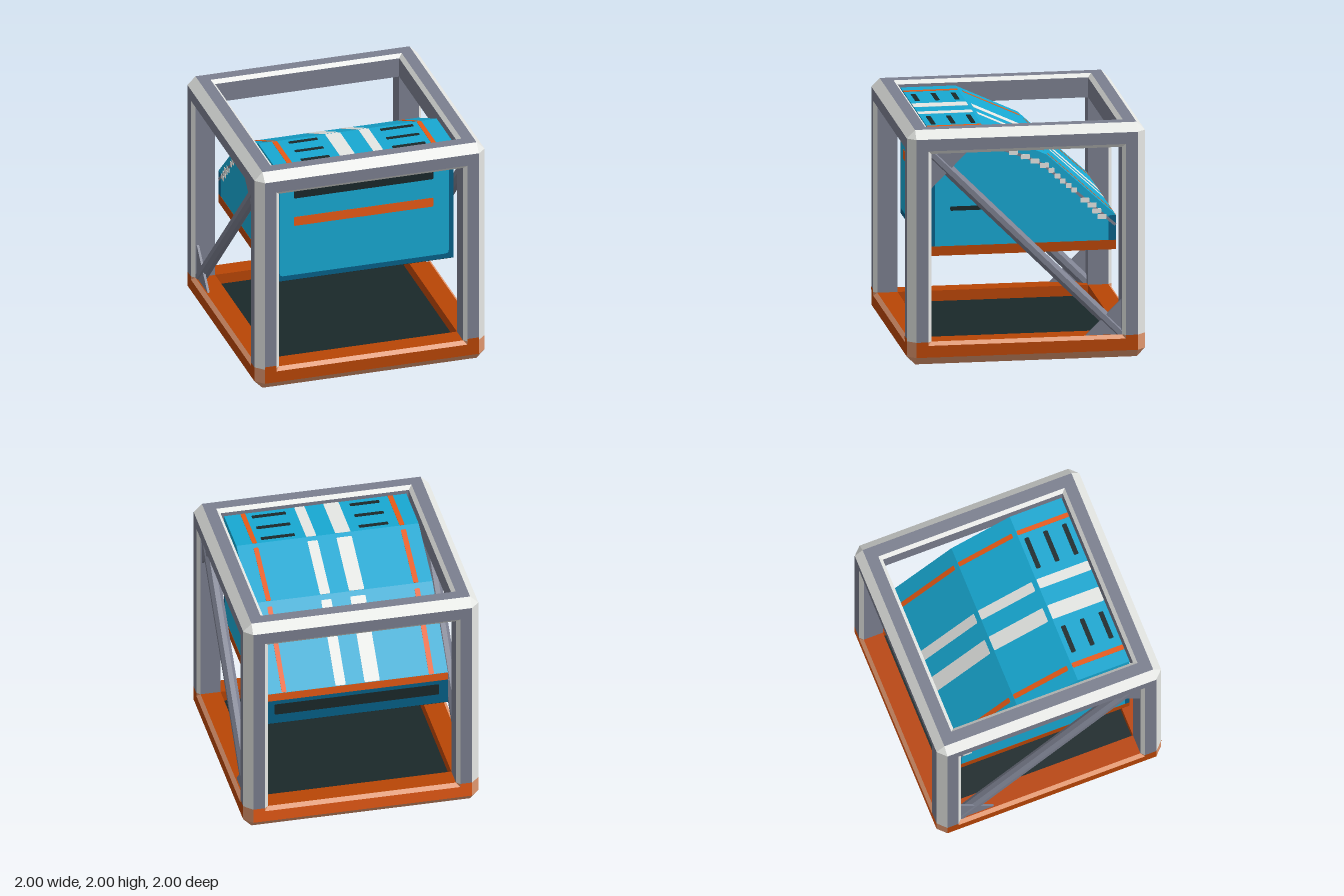
import * as THREE from 'three';

const mat = (name, color) => {
  const m = new THREE.MeshStandardMaterial({ color });
  m.name = name;
  return m;
};

export function createModel() {
  const M = {
    grey: mat('frame grey', 0x7b7f8f),
    silver: mat('silver', 0xe5e7e4),
    rust: mat('burnt orange', 0xb84505),
    peach: mat('worn orange', 0xe0966e),
    blue: mat('blue', 0x17a8d2),
    navy: mat('dark blue', 0x056088),
    orange: mat('bright orange', 0xe95b16),
    dark: mat('charcoal', 0x1a282a),
  };
  const model = new THREE.Group();
  model.name = 'cargoFrame';

  const add = (parent, name, geo, material, x = 0, y = 0, z = 0) => {
    const mesh = new THREE.Mesh(geo, material);
    mesh.name = name;
    mesh.position.set(x, y, z);
    parent.add(mesh);
    return mesh;
  };
  const group = (parent, name, x = 0, y = 0, z = 0) => {
    const g = new THREE.Group();
    g.name = name;
    g.position.set(x, y, z);
    parent.add(g);
    return g;
  };
  // thin rounded plate between two corners, lying on the local xy plane
  const plate = (parent, name, material, x0, y0, x1, y1, r = 0.01, t = 0.003) => {
    const s = new THREE.Shape();
    s.moveTo(x0 + r, y0);
    s.lineTo(x1 - r, y0).quadraticCurveTo(x1, y0, x1, y0 + r);
    s.lineTo(x1, y1 - r).quadraticCurveTo(x1, y1, x1 - r, y1);
    s.lineTo(x0 + r, y1).quadraticCurveTo(x0, y1, x0, y1 - r);
    s.lineTo(x0, y0 + r).quadraticCurveTo(x0, y0, x0 + r, y0);
    const geo = new THREE.ExtrudeGeometry(s, { depth: t, bevelEnabled: false, curveSegments: 3 });
    return add(parent, name, geo, material);
  };

  // ---- Chamfered cube frame: one mitred side, turned four times on six faces
  const frame = group(model, 'frame', 0, 1, 0);
  const A = 0.93, B = 0.83, C = 0.8, D = 0.97, E = 0.965;
  const side = [
    ['face', [[-A, -A, 1], [A, -A, 1], [B, -B, 1], [-B, -B, 1]]],
    ['lip', [[-B, -B, 1], [B, -B, 1], [C, -C, D], [-C, -C, D]]],
    ['wall', [[-C, -C, D], [C, -C, D], [C, -C, C], [-C, -C, C]]],
    ['edge', [[-A, -E, E], [A, -E, E], [A, -A, 1], [-A, -A, 1]]],
  ];
  const corner = ['edge', [[-A, -A, 1], [-1, -A, A], [-A, -1, A]]];
  const tris = { grey: [], silver: [], rust: [], peach: [], orange: [] };
  // keeps the part of a polygon above (sign 1) or below (sign -1) the paint line
  const clip = (poly, sign) => {
    const out = [];
    const d = (p) => sign * (p.y + 0.8);
    poly.forEach((p, i) => {
      const q = poly[(i + 1) % poly.length];
      if (d(p) >= -1e-6) out.push(p);
      if ((d(p) > 1e-6 && d(q) < -1e-6) || (d(p) < -1e-6 && d(q) > 1e-6)) {
        out.push(p.clone().lerp(q, d(p) / (d(p) - d(q))));
      }
    });
    return out;
  };
  const fan = (poly, list) => {
    for (let i = 1; i < poly.length - 1; i++) {
      for (const p of [poly[0], poly[i], poly[i + 1]]) list.push(p.x, p.y, p.z);
    }
  };
  const H = Math.PI / 2;
  const BACK = 2, BOTTOM = 4;
  const faces = [[0, 0], [0, H], [0, 2 * H], [0, 3 * H], [H, 0], [-H, 0]];
  faces.forEach(([rx, ry], f) => {
    const turn = new THREE.Matrix4().makeRotationFromEuler(new THREE.Euler(rx, ry, 0));
    for (let k = 0; k < 4; k++) {
      const m = turn.clone().multiply(new THREE.Matrix4().makeRotationZ(k * H));
      const parts = f === 0 || f === BACK ? [...side, corner] : side;
      for (const [kind, pts] of parts) {
        const flat = kind === 'face' || kind === 'wall';
        const poly = pts.map((p) => new THREE.Vector3(...p).applyMatrix4(m));
        const low = clip(poly, -1);
        let paint = flat || (f === BOTTOM && kind === 'lip') ? 'rust' : 'peach';
        if (f === BACK && kind === 'face') paint = 'orange';
        if (low.length > 2) fan(low, tris[paint]);
        if (poly.some((p) => p.y > -0.8 + 1e-6)) fan(clip(poly, 1), flat ? tris.grey : tris.silver);
      }
    }
  });
  const frameNames = {
    grey: 'frameBars', silver: 'frameChamfers', rust: 'baseBars', peach: 'baseChamfers', orange: 'baseBack',
  };
  for (const key in tris) {
    const geo = new THREE.BufferGeometry();
    geo.setAttribute('position', new THREE.Float32BufferAttribute(tris[key], 3));
    geo.computeVertexNormals();
    add(frame, frameNames[key], geo, M[key]);
  }
  for (const s of [-1, 1]) {
    add(model, 'postPaintEdge', new THREE.BoxGeometry(0.1, 0.025, 0.003), M.rust, s * 0.88, 0.21, 1);
  }
  // floor set halfway up the base bars
  add(model, 'floor', new THREE.BoxGeometry(1.6, 0.02, 1.6), M.dark, 0, 0.1, 0);

  // ---- Diagonal braces with corner gussets on both sides
  for (const s of [-1, 1]) {
    const brace = group(model, s > 0 ? 'leftBrace' : 'rightBrace', s * 0.92, 1, 0);
    const bar = new THREE.CylinderGeometry(0.054, 0.054, 2.27, 8).rotateY(Math.PI / 8).toNonIndexed();
    bar.computeVertexNormals();
    add(brace, 'braceBar', bar, M.grey).rotation.x = Math.PI / 4;
    for (const e of [-1, 1]) {
      const tri = new THREE.Shape();
      tri.moveTo(-0.8, 0.8);
      tri.lineTo(-0.8, 0.5);
      tri.lineTo(-0.5, 0.8);
      const geo = new THREE.ExtrudeGeometry(tri, { depth: 0.02, bevelEnabled: false });
      geo.translate(0, 0, -0.01).rotateY(H);
      add(brace, 'gusset', geo, M.grey, s * 0.03).rotation.x = e > 0 ? 0 : Math.PI;
    }
  }

  // ---- Hull: side profile (z, y) extruded across x
  const hull = group(model, 'hull');
  const W = 0.775, Z = 0.78;
  const top = [[Z, 1.95], [0.32, 1.95], [-0.2, 1.71], [-Z, 1.175]];
  const profile = new THREE.Shape();
  profile.moveTo(-Z, 0.885);
  profile.lineTo(Z, 0.885);
  top.forEach(([z, y]) => profile.lineTo(z, y));
  const body = new THREE.ExtrudeGeometry(profile, { depth: 2 * W, bevelEnabled: false });
  body.translate(0, 0, -W).rotateY(-H);
  add(hull, 'hullBody', body, M.blue);
  add(hull, 'hullBottom', new THREE.BoxGeometry(2 * W, 0.004, 2 * Z), M.dark, 0, 0.884, 0);

  // front panel and its stripes
  const front = group(hull, 'hullFront', 0, 0, Z);
  plate(front, 'frontBorder', M.navy, -W, 0.885, W, 1.945, 0.001, 0.0015);
  plate(front, 'frontPanel', M.blue, -0.735, 0.93, 0.735, 1.92, 0.03, 0.003);
  plate(front, 'frontStripe', M.orange, -0.61, 1.383, 0.6, 1.465, 0.01, 0.0045);
  for (const y of [1.637, 1.757]) plate(front, 'frontVent', M.dark, -0.61, y, 0.6, y + 0.075, 0.01, 0.0045);

  // back panel
  const back = group(hull, 'hullBack', 0, 0, -Z);
  back.rotation.y = Math.PI;
  plate(back, 'backBorder', M.navy, -W, 0.885, W, 1.105, 0.001, 0.002);
  plate(back, 'backStripe', M.orange, -W, 1.105, W, 1.174, 0.001, 0.002);
  plate(back, 'backVent', M.dark, -0.7, 0.97, 0.7, 1.07, 0.015, 0.004);

  // side details, local x runs along z
  const trimLine = [[0.2, 1.78], [-0.02, 1.7], [-0.18, 1.62], [-0.45, 1.38], [-0.778, 1.09]];
  const trimBlocks = [
    [0.16, 1.78], [0.08, 1.74], [-0.02, 1.7], [-0.1, 1.66], [-0.18, 1.62], [-0.24, 1.575], [-0.29, 1.525],
    [-0.335, 1.48], [-0.385, 1.44], [-0.43, 1.4], [-0.52, 1.31], [-0.58, 1.265], [-0.62, 1.215], [-0.665, 1.165],
  ];
  for (const s of [-1, 1]) {
    const flank = group(hull, s > 0 ? 'leftFlank' : 'rightFlank', s * W, 0, 0);
    flank.rotation.y = s * H;
    const flat = (name, m, z0, y0, z1, y1, r, t) =>
      plate(flank, name, m, Math.min(-s * z0, -s * z1), y0, Math.max(-s * z0, -s * z1), y1, r, t);
    flat('sillStripe', M.rust, -Z, 0.882, Z, 0.962, 0.001, 0.002);
    flat('frontEdge', M.navy, 0.74, 0.962, Z, 1.9, 0.005, 0.002);
    flat('rearEdge', M.navy, -Z, 0.962, -0.72, 1.172, 0.001, 0.002);
    flat('sideVent', M.dark, 0.61, 1.262, 0.33, 1.298, 0.01, 0.004);
    // broken trim line below the roof edge
    for (let i = 0; i < trimLine.length - 1; i++) {
      const [z0, y0] = trimLine[i], [z1, y1] = trimLine[i + 1];
      const line = group(flank, 'roofTrim', -s * z0, y0, 0);
      line.rotation.z = Math.atan2(y1 - y0, -s * (z1 - z0));
      plate(line, 'trimLine', M.grey, 0, -0.012, Math.hypot(z1 - z0, y1 - y0), 0.012, 0.002);
    }
    trimBlocks.forEach(([z, y], i) => {
      const w = i < 5 || i > 9 ? 0.038 : 0.024;
      flat('trimBlock', M.silver, z - w, y - 0.021, z + w, y + 0.021, 0.008, 0.004);
    });
  }

  // roof panels, each with racing stripes in its own tilted plane
  const stripes = [
    ['wideStripe', M.silver, -0.197, -0.067], ['narrowStripe', M.silver, 0.093, 0.18],
    ['edgeStripe', M.orange, -0.658, -0.614], ['edgeStripe', M.orange, 0.597, 0.638],
  ];
  for (let i = 0; i < 3; i++) {
    const [z0, y0] = top[i], [z1, y1] = top[i + 1];
    const len = Math.hypot(z1 - z0, y1 - y0);
    const roof = group(hull, 'roofPanel', 0, y0, z0);
    roof.rotation.x = -H - Math.atan2(y0 - y1, z0 - z1);
    for (const [name, m, x0, x1] of stripes) {
      plate(roof, name, m, x0, [0, 0.042, 0.046][i], x1, len - 0.003, 0.01, 0.002);
    }
    if (i === 0) {
      for (const z of [0.38, 0.547, 0.715]) {
        const v = Z - z;
        plate(roof, 'roofVent', M.dark, -0.53, v - 0.02, -0.28, v + 0.02, 0.01, 0.002);
        plate(roof, 'roofVent', M.dark, 0.265, v - 0.02, 0.553, v + 0.02, 0.01, 0.002);
      }
    }
  }
  return model;
}
